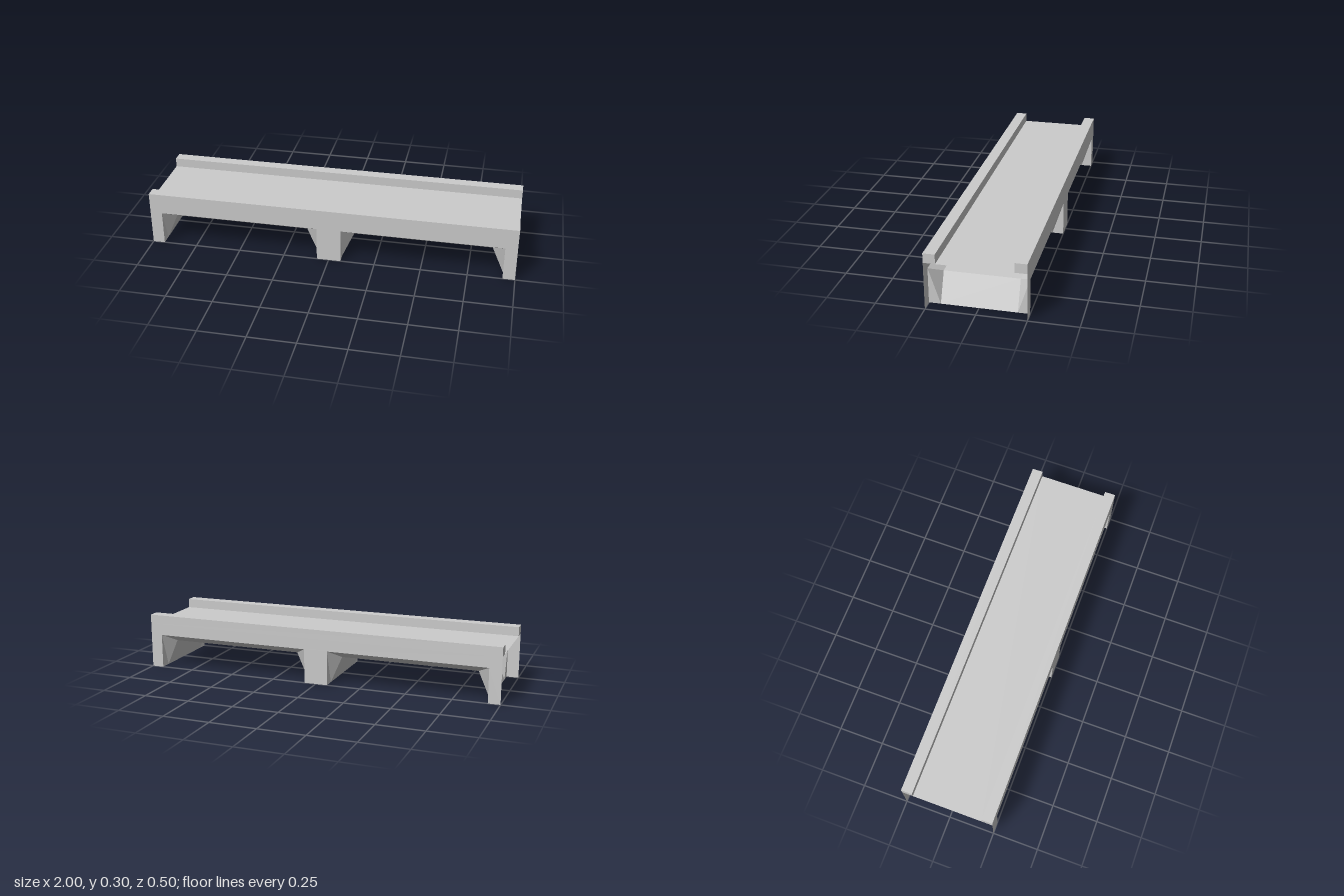
import * as THREE from 'three';

const material = new THREE.MeshStandardMaterial({ color: 0xcccccc, flatShading: true, side: THREE.DoubleSide });

// Main dimensions
const HALF = 1, DEPTH = 0.25, INNER = 0.19, DECK = 0.25, TOP = 0.3;
const OPEN = [0.065, 0.935]; // opening of each span at the faces
const OPEN_TOP = 0.187;

function add(parent, name, geometry, x = 0, y = 0, z = 0) {
  const mesh = new THREE.Mesh(geometry, material);
  mesh.name = name;
  mesh.position.set(x, y, z);
  parent.add(mesh);
  return mesh;
}

// Side wall outline: a band with three legs
function wallGeometry() {
  const [a, b] = OPEN;
  const points = [
    [-HALF, 0], [-b, 0], [-b, OPEN_TOP], [-a, OPEN_TOP], [-a, 0],
    [a, 0], [a, OPEN_TOP], [b, OPEN_TOP], [b, 0], [HALF, 0], [HALF, DECK], [-HALF, DECK],
  ];
  return new THREE.ShapeGeometry(new THREE.Shape(points.map(([x, y]) => new THREE.Vector2(x, y))));
}

// Lining of one span: sloped walls and soffit, splayed out to the side walls
function liningGeometry() {
  const [a, b] = OPEN;
  const outer = [[a, 0], [a, OPEN_TOP], [b, OPEN_TOP], [b, 0]];
  const inner = [[a, 0], [a + 0.065, 0.148], [b - 0.065, 0.148], [b, 0]];
  const sections = [[outer, DEPTH], [inner, INNER], [inner, -INNER], [outer, -DEPTH]];
  const positions = sections.flatMap(([profile, z]) => profile.flatMap(([x, y]) => [x, y, z]));
  const index = [];
  for (let s = 0; s < 3; s++) {
    for (let j = 0; j < 3; j++) {
      const p = s * 4 + j, q = p + 1, r = p + 5, t = p + 4;
      if ((j === 0) === (s === 0)) index.push(p, t, q, q, t, r);
      else index.push(p, r, q, p, t, r);
    }
  }
  const indexed = new THREE.BufferGeometry();
  indexed.setAttribute('position', new THREE.Float32BufferAttribute(positions, 3));
  indexed.setIndex(index);
  const geometry = indexed.toNonIndexed();
  geometry.computeVertexNormals();
  return geometry;
}

export function createModel() {
  const bridge = new THREE.Group();
  bridge.name = 'bridgeSection';

  // Walkway surface, open at both ends
  add(bridge, 'deck', new THREE.PlaneGeometry(2 * HALF, 2 * INNER).rotateX(-Math.PI / 2), 0, DECK, 0);

  // Side walls and kerbs
  for (const side of [1, -1]) {
    const wall = add(bridge, side > 0 ? 'frontWall' : 'backWall', wallGeometry(), 0, 0, side * DEPTH);
    if (side < 0) wall.rotation.y = Math.PI;
    add(bridge, side > 0 ? 'frontKerb' : 'backKerb',
      new THREE.BoxGeometry(2 * HALF, TOP - DECK, DEPTH - INNER),
      0, (TOP + DECK) / 2, side * (DEPTH + INNER) / 2);
  }

  // Two spans
  add(bridge, 'leftSpanLining', liningGeometry());
  add(bridge, 'rightSpanLining', liningGeometry(), -HALF, 0, 0);

  return bridge;
}
